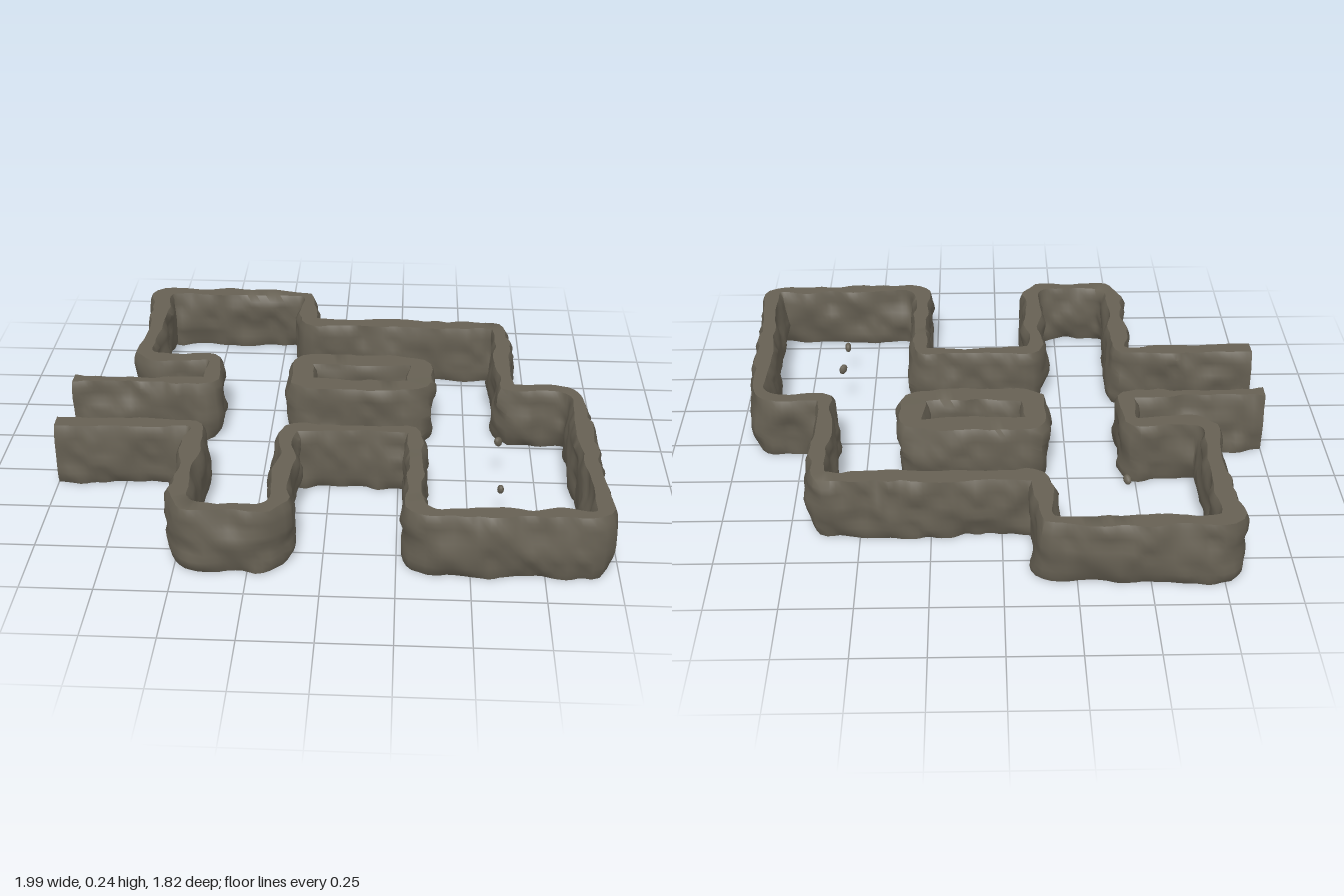
import * as THREE from 'three';
import { toCreasedNormals } from 'three/addons/utils/BufferGeometryUtils.js';

const HEIGHT = 0.24;
const ROWS = 10;
const STEP = 0.02;

// Smooth value noise in -1..1
function hash(x, y, z) {
  const s = Math.sin(x * 127.1 + y * 311.7 + z * 74.7) * 43758.5453;
  return (s - Math.floor(s)) * 2 - 1;
}
function noise(x, y, z) {
  const ix = Math.floor(x), iy = Math.floor(y), iz = Math.floor(z);
  const ease = (t) => t * t * (3 - 2 * t);
  const u = ease(x - ix), v = ease(y - iy), w = ease(z - iz);
  let sum = 0;
  for (let i = 0; i < 8; i++) {
    const a = i & 1, b = (i >> 1) & 1, c = i >> 2;
    sum += hash(ix + a, iy + b, iz + c) * (a ? u : 1 - u) * (b ? v : 1 - v) * (c ? w : 1 - w);
  }
  return sum;
}
const rough = (p) => 0.7 * noise(p.x * 10 + 7, p.y * 10, p.z * 10 + 3)
  + 0.4 * noise(p.x * 23, p.y * 23 + 5, p.z * 23);

// Plan path [x, z, corner radius] with rounded corners
function planPath(corners, closed) {
  const pts = corners.map(([x, z]) => new THREE.Vector3(x, 0, z));
  const n = pts.length, path = new THREE.CurvePath();
  let last = closed ? pts[0].clone().lerp(pts[n - 1], 0.5) : pts[0];
  const start = last;
  for (let i = closed ? 0 : 1; i < (closed ? n : n - 1); i++) {
    const p = pts[i], r = corners[i][2] ?? 0.045;
    const toward = (q) => p.clone().addScaledVector(q.clone().sub(p).normalize(), r);
    const a = toward(pts[(i + n - 1) % n]), b = toward(pts[(i + 1) % n]);
    path.add(new THREE.LineCurve3(last, a));
    path.add(new THREE.QuadraticBezierCurve3(a, p, b));
    last = b;
  }
  path.add(new THREE.LineCurve3(last, closed ? start : pts[n - 1]));
  return path;
}

// Rough rock wall: an upright section swept along the plan
function rockWall(corners, half, closed, material) {
  const path = planPath(corners, closed);
  const count = Math.round(path.getLength() / STEP);
  const line = path.getSpacedPoints(count);
  if (closed) line.length = count;
  const n = line.length, ring = ROWS * 2 + 2;
  const verts = [], index = [];
  const side = new THREE.Vector3(), p = new THREE.Vector3();

  line.forEach((c, i) => {
    const next = closed ? line[(i + 1) % n] : line[Math.min(i + 1, n - 1)];
    const prev = closed ? line[(i + n - 1) % n] : line[Math.max(i - 1, 0)];
    const t = next.clone().sub(prev).normalize();
    side.set(t.z, 0, -t.x);
    for (let j = 0; j < ring; j++) {
      const s = j <= ROWS ? 1 : -1;
      const row = s > 0 ? j : ring - 1 - j;
      const f = row / ROWS;
      p.copy(c).addScaledVector(side, s * half);
      p.y = f * HEIGHT;
      const edge = row === 0 || row === ROWS ? -0.008 : 0;
      const bulge = 0.006 * Math.sin(f * Math.PI);
      p.addScaledVector(side, s * (rough(p) * 0.026 + edge + bulge));
      verts.push(p.x, p.y, p.z);
    }
  });
  for (let i = 0; i < (closed ? n : n - 1); i++) {
    for (let j = 0; j < ring; j++) {
      const k = (j + 1) % ring, m = (i + 1) % n;
      const a = i * ring + j, b = i * ring + k, c = m * ring + k, d = m * ring + j;
      index.push(a, b, c, a, c, d);
    }
  }
  // Flat cut ends of an open wall
  if (!closed) {
    for (const i of [0, n - 1]) {
      for (let r = 0; r < ROWS; r++) {
        const a = i * ring + r, b = a + 1, d = i * ring + ring - 1 - r, c = d - 1;
        if (i) index.push(a, b, c, a, c, d);
        else index.push(a, c, b, a, d, c);
      }
    }
  }
  const geo = new THREE.BufferGeometry();
  geo.setAttribute('position', new THREE.Float32BufferAttribute(verts, 3));
  geo.setIndex(index);
  return new THREE.Mesh(toCreasedNormals(geo, 0.9), material);
}

export function createModel() {
  const group = new THREE.Group();
  const rock = new THREE.MeshStandardMaterial({ color: 0x666053 });

  // One continuous outer wall, from entrance side to entrance side
  const outer = rockWall([
    [-1, -0.04], [-0.47, -0.035], [-0.475, -0.24], [-0.765, -0.23, 0.08],
    [-0.755, -0.55], [-0.77, -0.855, 0.05], [-0.14, -0.85, 0.06], [-0.14, -0.575],
    [0.65, -0.575], [0.65, -0.04], [0.91, -0.04, 0.08], [0.935, 0.835],
    [0.31, 0.84, 0.08], [0.31, 0.295], [-0.15, 0.295], [-0.145, 0.845, 0.11],
    [-0.49, 0.85, 0.11], [-0.48, 0.29], [-1, 0.305],
  ], 0.036, false, rock);
  outer.name = 'outerWall';
  group.add(outer);

  // Closed wall ring in the middle
  const island = rockWall(
    [[-0.135, -0.24], [0.325, -0.245], [0.32, -0.035], [-0.13, -0.04]],
    0.046, true, rock);
  island.name = 'innerWallRing';
  group.add(island);

  // Small loose rock fragments
  [[0.61, 0.18, 0.265], [0.61, 0.135, 0.52], [-0.47, 0.02, -0.29]].forEach(([x, y, z], i) => {
    const chip = new THREE.Mesh(new THREE.IcosahedronGeometry(0.016, 1), rock);
    chip.name = 'rockFragment' + (i + 1);
    chip.scale.set(1, 1.3, 0.75);
    chip.rotation.set(0.3 * i, 0.6 + i, 0.4);
    chip.position.set(x, y, z);
    group.add(chip);
  });
  return group;
}
